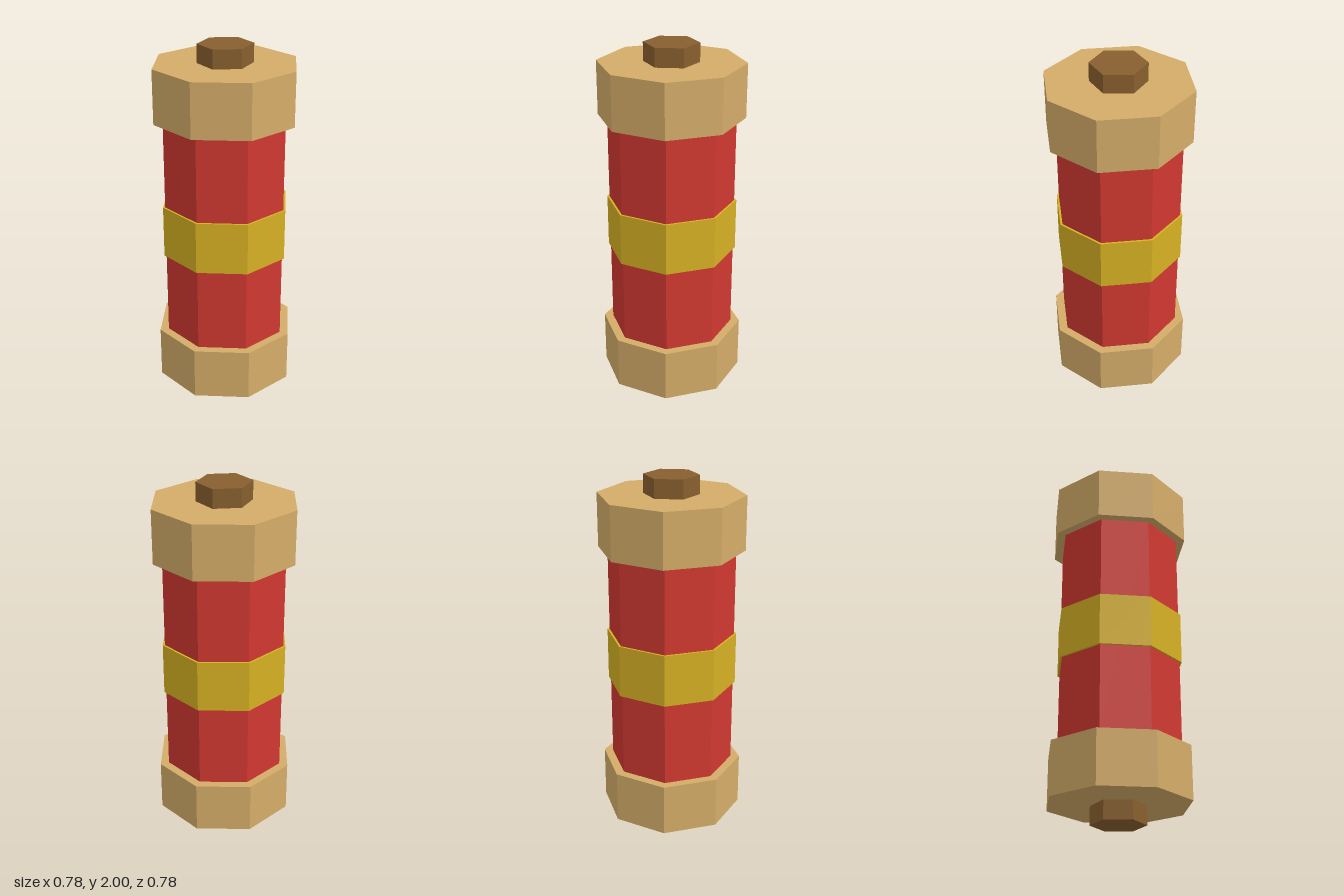
import * as THREE from 'three';

const material = (name, color) => {
  const m = new THREE.MeshStandardMaterial({ color, flatShading: true });
  m.name = name;
  return m;
};

export function createModel() {
  const group = new THREE.Group();
  group.name = 'cylinderCanister';

  const tan = material('tan', 0xd4ac68);
  const red = material('red', 0xd03830);
  const yellow = material('yellow', 0xd6b023);
  const brown = material('brown', 0x885f2e);

  // Upright prism between two heights
  const prism = (name, radius, bottom, top, sides, mat) => {
    const mesh = new THREE.Mesh(new THREE.CylinderGeometry(radius, radius, top - bottom, sides), mat);
    mesh.name = name;
    mesh.position.y = (bottom + top) / 2;
    group.add(mesh);
  };

  // Body with the raised band around its middle
  prism('body', 0.34, 0.39, 1.61, 8, red);
  prism('band', 0.352, 0.857, 1.143, 8, yellow);

  // End caps and hexagonal pegs
  prism('bottomCap', 0.389, 0.1, 0.39, 8, tan);
  prism('topCap', 0.389, 1.61, 1.9, 8, tan);
  prism('bottomPeg', 0.146, 0, 0.1, 6, brown);
  prism('topPeg', 0.146, 1.9, 2, 6, brown);

  return group;
}
